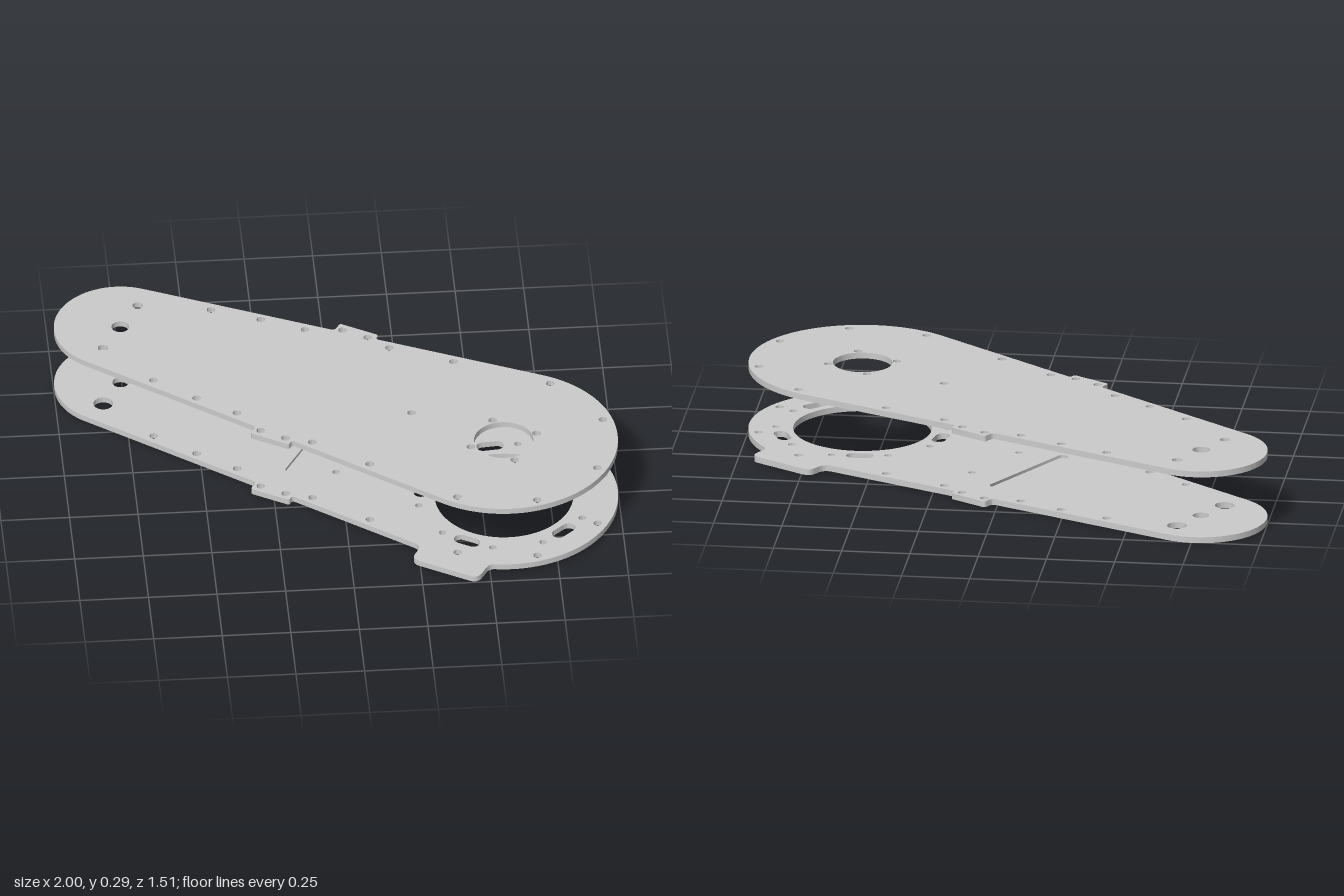
import * as THREE from 'three';
import { toCreasedNormals } from 'three/addons/utils/BufferGeometryUtils.js';

// Plate frame: u runs from the narrow end to the wide end, v across it; origin at the wide end's centre
const WIDE = 0.415, NARROW = 0.242, SPAN = 1.555, THICK = 0.0225;
const TANGENT = Math.PI / 2 + Math.asin((WIDE - NARROW) / SPAN);
const edgeV = u => (WIDE + u * -Math.cos(TANGENT)) / Math.sin(TANGENT);
const material = new THREE.MeshStandardMaterial({ color: 0xcccccc });

// Draw a polyline with rounded corners; each corner is [u, v, rounding]
function roundedLine(shape, corners, end) {
  let prev = shape.currentPoint.clone();
  corners.forEach(([u, v, r], i) => {
    const p = new THREE.Vector2(u, v);
    const next = corners[i + 1] ? new THREE.Vector2(corners[i + 1][0], corners[i + 1][1]) : end;
    const a = p.clone().add(prev.clone().sub(p).setLength(r));
    const b = p.clone().add(next.clone().sub(p).setLength(r));
    shape.lineTo(a.x, a.y);
    shape.quadraticCurveTo(p.x, p.y, b.x, b.y);
    prev = p;
  });
}

// Tapered outline with small side tabs and, optionally, two ears at the wide end
function outline(ears) {
  const tab = [
    [-0.69, edgeV(-0.69), 0.012], [-0.69, 0.367, 0.01],
    [-0.846, 0.367, 0.01], [-0.846, edgeV(-0.846), 0.015],
  ];
  const ear = [
    [0.135, 0.392, 0.025], [0.135, 0.488, 0.035],
    [-0.135, 0.488, 0.035], [-0.135, edgeV(-0.135), 0.035],
  ];
  const side = ears ? [...ear, ...tab] : tab;
  const mirrored = side.map(([u, v, r]) => [u, -v, r]).reverse();
  const a = ears ? 1.17 : TANGENT;
  const s = new THREE.Shape();
  s.absarc(0, 0, WIDE, -a, a);
  roundedLine(s, side, new THREE.Vector2(-SPAN + NARROW * Math.cos(TANGENT), NARROW * Math.sin(TANGENT)));
  s.absarc(-SPAN, 0, NARROW, TANGENT, 2 * Math.PI - TANGENT);
  roundedLine(s, mirrored, new THREE.Vector2(WIDE * Math.cos(a), -WIDE * Math.sin(a)));
  s.closePath();
  return s;
}

function hole(shape, u, v, r) {
  shape.holes.push(new THREE.Path().absarc(u, v, r, 0, Math.PI * 2, true));
}

// Round-ended slot centred on (u, v), long direction at the given angle
function slot(u, v, length, width, angle) {
  const r = width / 2, h = length / 2 - r;
  const dx = Math.cos(angle) * h, dy = Math.sin(angle) * h;
  const s = new THREE.Shape();
  s.absarc(u + dx, v + dy, r, angle - Math.PI / 2, angle + Math.PI / 2);
  s.absarc(u - dx, v - dy, r, angle + Math.PI / 2, angle + Math.PI * 1.5);
  s.closePath();
  return s;
}

function slab(name, shape, depth, y) {
  const geo = new THREE.ExtrudeGeometry(shape, { depth, bevelEnabled: false, curveSegments: 40 });
  const mesh = new THREE.Mesh(toCreasedNormals(geo.rotateX(-Math.PI / 2), 0.5), material);
  mesh.name = name;
  mesh.position.y = y;
  return mesh;
}

// Holes shared by both plates along the rim
function rimHoles(shape) {
  const rim = [
    [-1.304, 0.236], [-1.116, 0.263], [-0.944, 0.279], [-0.82, 0.336],
    [-0.719, 0.337], [-0.62, 0.316], [-0.374, 0.343], [0, 0.38], [0.269, 0.269],
  ];
  for (const [u, v] of rim) for (const m of [1, -1]) hole(shape, u, v * m, 0.0155);
  hole(shape, 0.38, 0, 0.0155);
}

function plate(name, shape, grooveAtTop) {
  const group = new THREE.Group();
  group.name = name;
  // Blind cross groove on the inner face: a slot with a thin floor
  const groove = slot(-0.765, 0, 0.44, 0.04, Math.PI / 2);
  shape.holes.push(groove);
  group.add(slab(name + 'Body', shape, THICK, 0));
  group.add(slab(name + 'GrooveFloor', groove, THICK / 2, grooveAtTop ? 0 : THICK / 2));
  return group;
}

export function createModel() {
  // Upper plate: small bearing hole with four bolts
  const upper = outline(false);
  rimHoles(upper);
  hole(upper, 0, 0, 0.108);
  for (let i = 0; i < 4; i++) {
    const a = Math.PI / 4 + i * Math.PI / 2;
    hole(upper, 0.126 * Math.cos(a), 0.126 * Math.sin(a), 0.0155);
  }
  hole(upper, -0.374, 0, 0.0155);
  hole(upper, -SPAN, 0, 0.032);
  for (const m of [1, -1]) hole(upper, -SPAN, 0.142 * m, 0.019);

  // Lower plate: large opening ringed by five slots, each with two bolts
  const lower = outline(true);
  rimHoles(lower);
  hole(lower, 0, 0, 0.252);
  for (let i = 0; i < 5; i++) {
    const a = -Math.PI / 2 + i * Math.PI * 0.4;
    lower.holes.push(slot(0.303 * Math.cos(a), 0.303 * Math.sin(a), 0.1, 0.05, a + Math.PI / 2));
    for (const d of [-0.33, 0.33]) hole(lower, 0.315 * Math.cos(a + d), 0.315 * Math.sin(a + d), 0.0135);
  }
  for (const m of [1, -1]) {
    hole(lower, -0.612, 0.14 * m, 0.0135);
    hole(lower, -SPAN, 0.142 * m, 0.036);
  }
  hole(lower, -SPAN, 0, 0.03);

  const lowerPlate = plate('lowerPlate', lower, true);
  const upperPlate = plate('upperPlate', upper, false);
  upperPlate.position.y = 0.253;

  // Slight rise towards the wide end, then turned in plan
  const arm = new THREE.Group();
  arm.name = 'armPlates';
  arm.add(lowerPlate, upperPlate);
  arm.rotation.set(0, -0.535, 0.0045);
  arm.position.set(0.582, 0.0081, 0.278);

  const model = new THREE.Group();
  model.name = 'plateAssembly';
  model.add(arm);
  return model;
}
